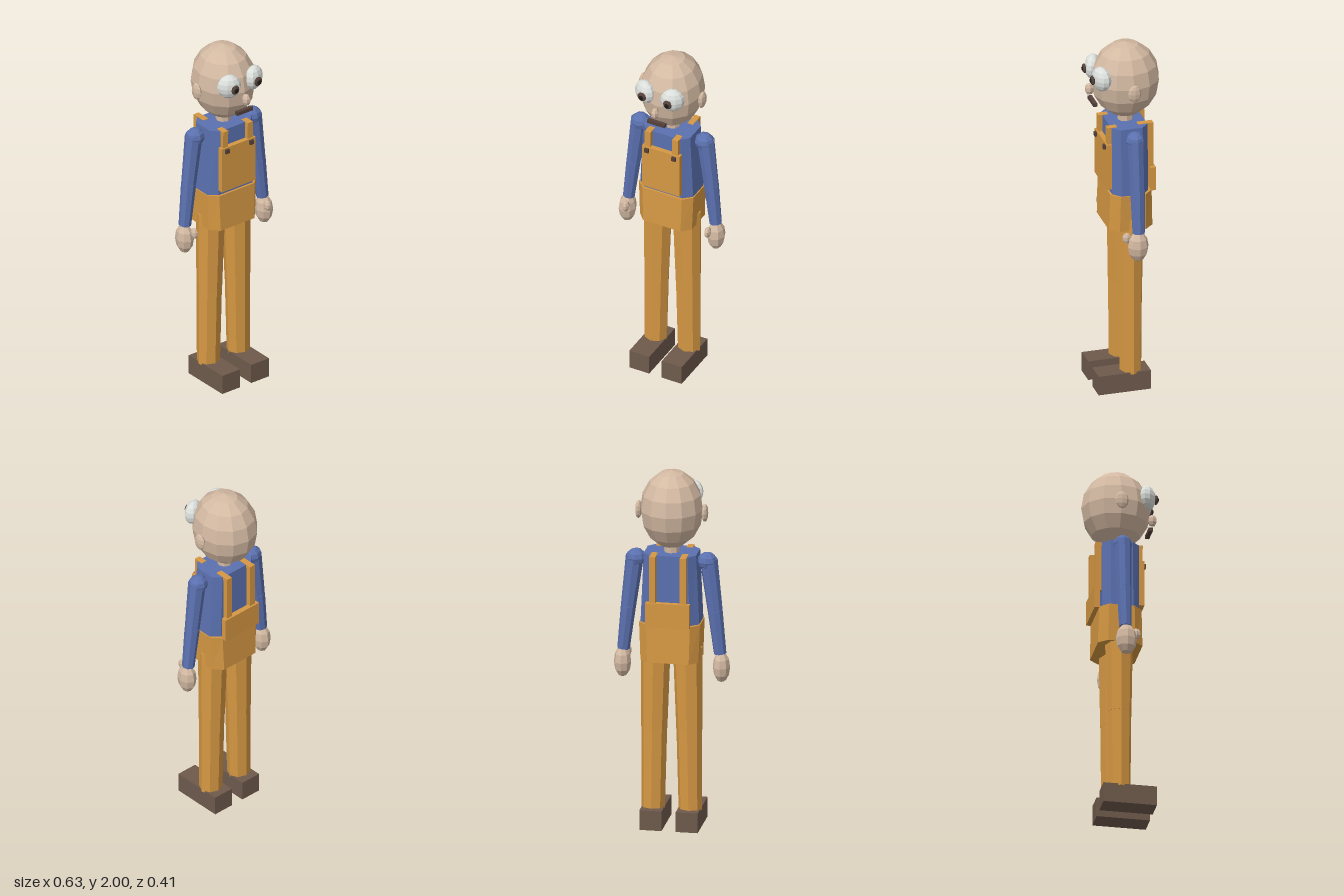
import * as THREE from 'three';

const mat = (name, color) => {
  const m = new THREE.MeshStandardMaterial({ color, flatShading: true });
  m.name = name;
  return m;
};

export function createModel() {
  const skin = mat('skin', 0xd3b9a2);
  const blue = mat('shirt blue', 0x5b71b0);
  const orange = mat('overall orange', 0xd69843);
  const shoe = mat('shoe brown', 0x6e5a4c);
  const dark = mat('dark brown', 0x54413a);
  const white = mat('eye white', 0xdce0dc);
  const black = mat('pupil black', 0x1c1917);

  const model = new THREE.Group();
  model.name = 'figure';

  const add = (name, geo, material, x, y, z) => {
    const mesh = new THREE.Mesh(geo, material);
    mesh.name = name;
    mesh.position.set(x, y, z);
    model.add(mesh);
    return mesh;
  };
  const box = (name, material, w, h, d, x, y, z) =>
    add(name, new THREE.BoxGeometry(w, h, d), material, x, y, z);
  const ball = (name, material, rx, ry, rz, x, y, z, seg = 8, rows = 6) =>
    add(name, new THREE.SphereGeometry(1, seg, rows).scale(rx, ry, rz), material, x, y, z);

  // Tapered tube between two points, slightly flattened or deepened along z
  const limb = (name, material, a, b, ra, rb, depth, sides = 8) => {
    const from = new THREE.Vector3(...a), to = new THREE.Vector3(...b);
    const dir = to.clone().sub(from);
    const geo = new THREE.CylinderGeometry(ra, rb, dir.length(), sides).scale(1, 1, depth);
    const mid = from.clone().add(to).multiplyScalar(0.5);
    const mesh = add(name, geo, material, mid.x, mid.y, mid.z);
    mesh.quaternion.setFromUnitVectors(new THREE.Vector3(0, -1, 0), dir.normalize());
    return mesh;
  };

  // Box with chamfered corners; t and b give [half width, half depth] at top and bottom
  const chamfered = (name, material, y0, y1, t, b, z) => {
    const geo = new THREE.CylinderGeometry(1, 1, y1 - y0, 8, 1, false, Math.PI / 8);
    const p = geo.attributes.position;
    for (let i = 0; i < p.count; i++) {
      const [hx, hz] = p.getY(i) > 0 ? t : b;
      const x = p.getX(i), zz = p.getZ(i);
      const wide = v => (Math.abs(v) < 0.01 ? 0 : Math.sign(v) * (Math.abs(v) > 0.6 ? 1 : 0));
      const nx = Math.abs(x) < 0.01 ? 0 : wide(x) || Math.sign(x) * 0.72;
      const nz = Math.abs(zz) < 0.01 ? 0 : wide(zz) || Math.sign(zz) * 0.6;
      p.setXYZ(i, nx * hx, p.getY(i), nz * hz);
    }
    geo.computeVertexNormals();
    return add(name, geo, material, 0, (y0 + y1) / 2, z);
  };

  // Head and face
  ball('head', skin, 0.17, 0.215, 0.187, 0, 1.785, -0.021, 12, 8);
  ball('nose', skin, 0.022, 0.034, 0.027, 0, 1.745, 0.178, 6, 5);
  box('mouth', dark, 0.106, 0.02, 0.022, 0, 1.67, 0.16);
  add('neck', new THREE.CylinderGeometry(0.042, 0.042, 0.09, 8), skin, 0, 1.57, -0.02);

  // Body
  chamfered('shirt', blue, 1.1, 1.545, [0.142, 0.1], [0.162, 0.1], -0.015);
  chamfered('hips', orange, 0.95, 1.16, [0.165, 0.115], [0.157, 0.121], -0.018);
  box('frontBib', orange, 0.228, 0.262, 0.028, 0, 1.32, 0.1);
  box('backBib', orange, 0.24, 0.135, 0.03, 0, 1.222, -0.143);

  for (const [side, s] of [['left', 1], ['right', -1]]) {
    // Eyes turned slightly outwards, with iris and pupil
    const eye = ball(side + 'Eye', white, 0.066, 0.068, 0.044, s * 0.083, 1.836, 0.136, 10, 8);
    eye.rotation.y = s * 0.4;
    ball(side + 'Iris', dark, 0.026, 0.026, 0.013, s * 0.077, 1.832, 0.183);
    ball(side + 'Pupil', black, 0.013, 0.013, 0.006, s * 0.077, 1.832, 0.193);
    ball(side + 'Ear', skin, 0.018, 0.05, 0.037, s * 0.18, 1.77, -0.021);

    // Straps with hooked tops, and buckles
    box(side + 'FrontStrap', orange, 0.034, 0.13, 0.026, s * 0.083, 1.475, 0.094);
    box(side + 'FrontStrapTop', orange, 0.034, 0.02, 0.055, s * 0.083, 1.537, 0.08);
    box(side + 'BackStrap', orange, 0.034, 0.28, 0.03, s * 0.083, 1.405, -0.133);
    box(side + 'BackStrapTop', orange, 0.034, 0.02, 0.085, s * 0.083, 1.537, -0.106);
    box(side + 'Buckle', dark, 0.024, 0.024, 0.012, s * 0.082, 1.432, 0.12);

    // Arm and hand
    ball(side + 'Shoulder', blue, 0.055, 0.05, 0.052, s * 0.193, 1.5, -0.02);
    limb(side + 'UpperArm', blue, [s * 0.2, 1.51, -0.02], [s * 0.235, 1.225, -0.02], 0.049, 0.041, 0.95);
    limb(side + 'Forearm', blue, [s * 0.235, 1.225, -0.02], [s * 0.262, 0.985, -0.018], 0.041, 0.034, 1);
    ball(side + 'Hand', skin, 0.047, 0.087, 0.057, s * 0.268, 0.91, -0.014);
    ball(side + 'Thumb', skin, 0.018, 0.032, 0.026, s * 0.247, 0.955, 0.044, 6, 5);

    // Leg and shoe
    limb(side + 'Thigh', orange, [s * 0.087, 1.015, -0.02], [s * 0.095, 0.55, -0.02], 0.081, 0.071, 0.94);
    limb(side + 'Shin', orange, [s * 0.095, 0.55, -0.02], [s * 0.101, 0.1, -0.02], 0.07, 0.064, 0.94);
    box(side + 'Shoe', shoe, 0.12, 0.11, 0.29, s * 0.098, 0.055, 0.028);
  }
  return model;
}
